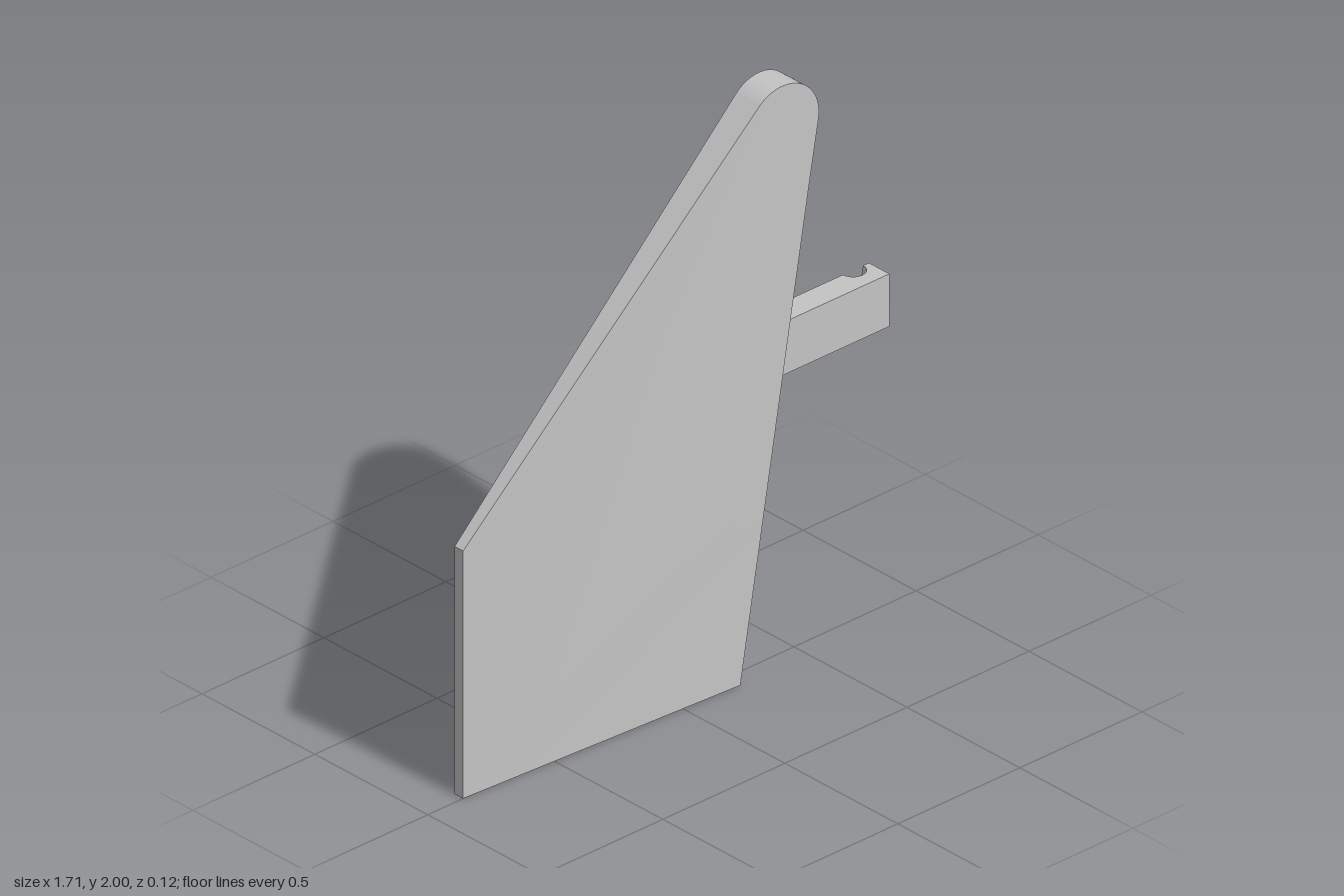
import * as THREE from 'three';
import { toCreasedNormals } from 'three/addons/utils/BufferGeometryUtils.js';

const LEFT = -0.855;
// slanted straight edge, and the tapering front and back faces of the fin
const edgeX = (y) => 0.223 + 0.175 * y;
const frontZ = (x, y) => Math.min(1, (x - LEFT) / (edgeX(y) - LEFT)) * (0.062 - 0.0015 * y);
const backZ = (x) => -0.038 - 0.0155 * (x - LEFT);

const NOTCH_R = 0.1;
const notches = [{ y: 0.63, x: 0.213 }, { y: 1.53, x: 0.39 }];

// Extrude a shape, then move every vertex by a rule
function extrudeMapped(shape, depth, rule) {
  const geo = new THREE.ExtrudeGeometry(shape, { depth, bevelEnabled: false, curveSegments: 32 });
  const pos = geo.attributes.position;
  for (let i = 0; i < pos.count; i++) {
    pos.setXYZ(i, ...rule(pos.getX(i), pos.getY(i), pos.getZ(i)));
  }
  return toCreasedNormals(geo, 0.5);
}

// Fin plate: rounded tip, gaps left along the slanted edge for the notch shells
function finGeometry() {
  const s = new THREE.Shape();
  s.moveTo(LEFT, 0);
  s.lineTo(edgeX(0), 0);
  for (const n of notches) {
    const lo = n.y - NOTCH_R, hi = n.y + NOTCH_R;
    s.lineTo(edgeX(lo), lo);
    s.lineTo(n.x, lo);
    s.lineTo(n.x, hi);
    s.lineTo(edgeX(hi), hi);
  }
  s.absarc(0.408, 1.86, 0.14, -0.173, 2.328, false);
  s.lineTo(LEFT, 0.857);
  s.closePath();
  return extrudeMapped(s, 1, (x, y, d) => [x, y, d > 0.5 ? frontZ(x, y) : backZ(x)]);
}

// Material around a half-round notch that opens to the back and the edge
function notchGeometry({ x: inner, y: mid }) {
  const thickness = 0.112;
  const s = new THREE.Shape();
  s.moveTo(0, NOTCH_R);
  s.lineTo(-thickness, NOTCH_R);
  s.lineTo(-thickness, -NOTCH_R);
  s.lineTo(0, -NOTCH_R);
  s.absarc(0, 0, NOTCH_R, Math.PI * 1.5, Math.PI * 0.5, true);
  return extrudeMapped(s, 1, (u, v, d) => {
    const y = mid + v;
    const x = inner + d * (edgeX(y) - inner);
    return [x, y, u < -0.105 ? frontZ(x, y) : backZ(x) - u];
  });
}

// Tab with a slanted half-round groove across its back
function tabGeometry() {
  const height = 0.182, bottom = 0.988, front = -0.039, back = 0.052;
  const s = new THREE.Shape();
  s.moveTo(0.36, front);
  s.lineTo(0.855, front);
  s.lineTo(0.855, back);
  s.absarc(0.79, back, 0.041, 0, -Math.PI, true);
  s.lineTo(0.36, back);
  s.closePath();
  return extrudeMapped(s, height, (x, w, d) => {
    const groove = x > 0.7 && x < 0.84;
    return [groove ? x - 0.175 * (height - d) : x, bottom + d, -w];
  });
}

export function createModel() {
  const model = new THREE.Group();
  model.name = 'finWithTab';
  const grey = new THREE.MeshStandardMaterial({ color: 0xc4c4c4 });
  grey.name = 'lightGrey';

  const add = (name, geometry) => {
    const mesh = new THREE.Mesh(geometry, grey);
    mesh.name = name;
    model.add(mesh);
  };
  add('finPlate', finGeometry());
  notches.forEach((n, i) => add(i ? 'upperNotch' : 'lowerNotch', notchGeometry(n)));
  add('tab', tabGeometry());
  return model;
}
